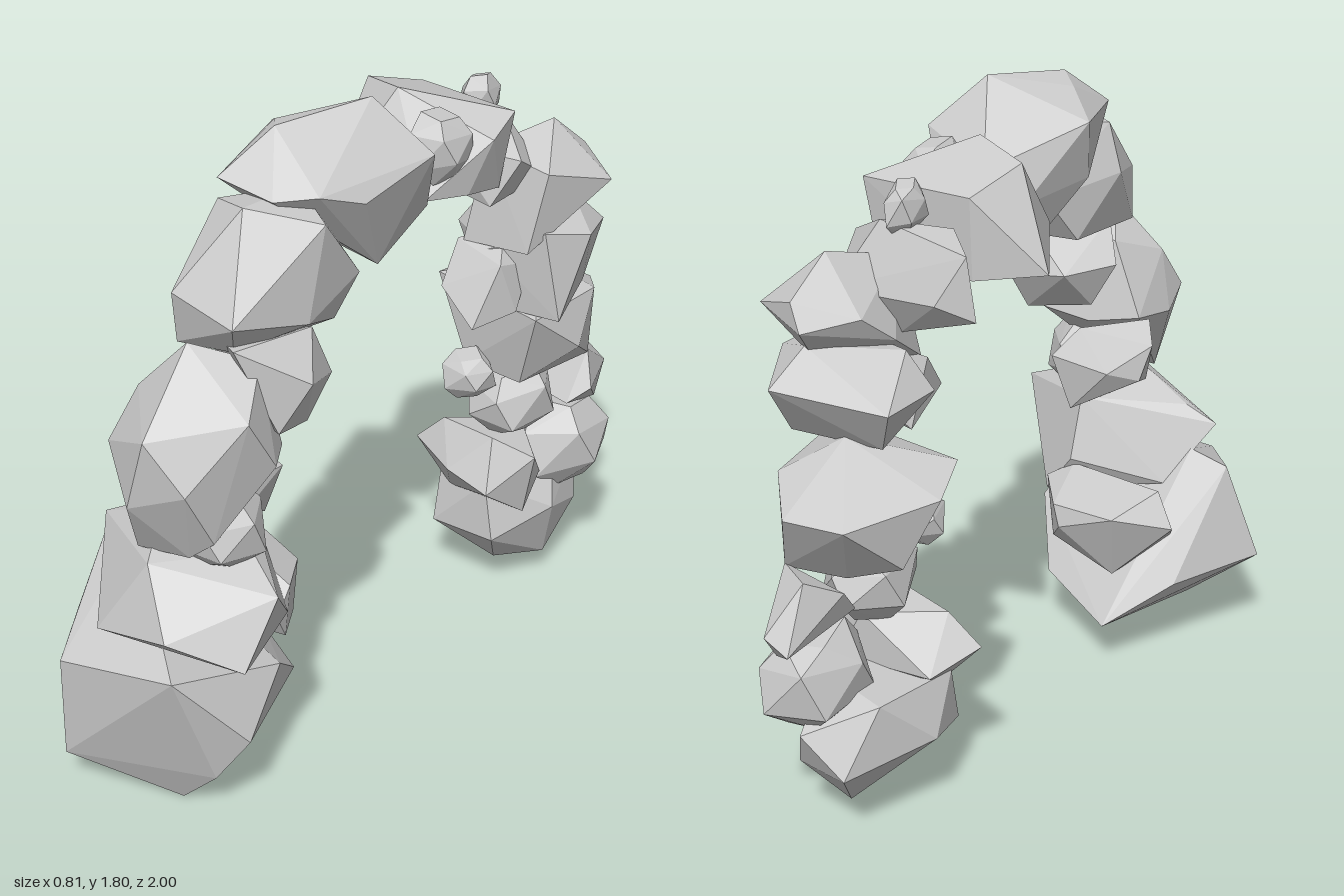
import * as THREE from 'three';
import { ConvexGeometry } from 'three/addons/geometries/ConvexGeometry.js';

export function createModel() {
  const arch = new THREE.Group();
  arch.name = 'rockArch';
  const stone = new THREE.MeshStandardMaterial({ color: 0xcccccc, flatShading: true });

  // A boulder is the convex hull of its corner points [x, y, z]
  function boulder(name, corners) {
    const geometry = new ConvexGeometry(corners.map((c) => new THREE.Vector3(...c)));
    const mesh = new THREE.Mesh(geometry, stone);
    mesh.name = name;
    arch.add(mesh);
  }

  // A small stone: a ring-built hull fitted into the box from min to max
  function pebble(name, min, max, turn) {
    const box = new THREE.Box3(new THREE.Vector3(...min), new THREE.Vector3(...max));
    const pts = [];
    const rings = [[-0.95, 0.5, 4], [-0.4, 1, 5], [0.45, 0.95, 5], [0.95, 0.55, 4]];
    rings.forEach(([y, r, n], k) => {
      for (let i = 0; i < n; i++) {
        const a = turn + k * 0.4 + (i / n) * Math.PI * 2;
        pts.push(new THREE.Vector3(r * Math.cos(a), y + 0.12 * Math.sin(3 * a + turn), r * Math.sin(a)));
      }
    });
    const own = new THREE.Box3().setFromPoints(pts);
    const scale = box.getSize(new THREE.Vector3()).divide(own.getSize(new THREE.Vector3()));
    boulder(name, pts.map((p) => p.sub(own.min).multiply(scale).add(box.min).toArray()));
  }

  // Front leg, from the ground up
  boulder('frontBase', [
    [-0.41, 0.28, 0.67], [-0.11, 0.11, 0.98], [-0.08, 0.43, 1.0], [0.27, 0.49, 0.93],
    [0.36, 0.26, 0.75], [0.28, 0.13, 0.8], [0.15, 0.0, 0.8], [-0.11, 0.01, 0.8],
    [0.02, 0.01, 0.62], [-0.32, 0.57, 0.62], [-0.2, 0.6, 0.62], [-0.12, 0.15, 0.24],
    [0.27, 0.36, 0.55], [-0.27, 0.26, 0.4], [0.15, 0.2, 0.38],
  ]);
  boulder('frontSlab', [
    [0.4, 0.69, 0.68], [0.4, 0.52, 0.8], [0.27, 0.45, 0.7], [-0.02, 0.52, 0.92],
    [0.25, 0.6, 0.93], [-0.25, 0.67, 0.68], [-0.16, 0.72, 0.66], [0.0, 0.79, 0.7],
    [0.12, 0.75, 0.86], [0.27, 0.75, 0.64], [0.1, 0.75, 0.48], [0.2, 0.44, 0.45],
    [0.1, 0.57, 0.42], [-0.15, 0.5, 0.55],
  ]);
  boulder('frontInnerStone', [
    [-0.27, 0.45, 0.38], [-0.14, 0.5, 0.25], [0.08, 0.48, 0.29], [0.05, 0.42, 0.27],
    [0.11, 0.35, 0.34], [-0.1, 0.28, 0.33], [0.1, 0.55, 0.44], [-0.2, 0.54, 0.42],
    [0.19, 0.43, 0.48], [0.17, 0.34, 0.43], [0.12, 0.42, 0.55], [-0.2, 0.36, 0.5],
    [0.18, 0.5, 0.42],
  ]);
  boulder('frontWedgeStone', [
    [-0.13, 0.96, 0.49], [-0.08, 1.01, 0.56], [0.12, 0.96, 0.5], [0.18, 0.88, 0.44],
    [-0.02, 0.87, 0.42], [-0.1, 0.85, 0.47], [-0.04, 0.79, 0.62], [0.12, 0.72, 0.45],
    [0.18, 0.8, 0.58], [0.18, 0.88, 0.64],
  ]);
  pebble('frontChip', [0.09, 0.7, 0.56], [0.31, 0.92, 0.78], 0.4);
  boulder('frontPillar', [
    [0.12, 1.31, 0.7], [0.25, 1.26, 0.58], [0.33, 1.16, 0.7], [0.32, 1.0, 0.6],
    [0.27, 0.83, 0.77], [0.04, 0.75, 0.82], [0.2, 0.77, 0.79], [-0.06, 0.98, 0.72],
    [-0.04, 1.03, 0.83], [-0.02, 1.16, 0.74], [0.17, 1.13, 0.9], [0.1, 0.92, 0.9],
    [0.27, 1.0, 0.86], [0.1, 0.98, 0.52], [0.05, 1.22, 0.58], [-0.04, 1.0, 0.57],
    [0.25, 1.0, 0.51],
  ]);
  boulder('frontShoulderStone', [
    [0.0, 1.18, 0.5], [0.07, 1.29, 0.58], [0.24, 1.31, 0.66], [0.28, 1.31, 0.43],
    [0.35, 1.2, 0.5], [0.27, 1.15, 0.35], [0.09, 1.17, 0.36], [0.25, 1.03, 0.42],
    [0.07, 1.05, 0.48], [0.3, 1.07, 0.57],
  ]);
  boulder('frontHaunch', [
    [-0.01, 1.46, 0.5], [0.03, 1.6, 0.5], [0.17, 1.63, 0.55], [0.32, 1.59, 0.42],
    [0.31, 1.34, 0.47], [0.2, 1.28, 0.62], [0.04, 1.27, 0.66], [0.06, 1.42, 0.69],
    [0.26, 1.38, 0.68], [0.06, 1.28, 0.38], [0.26, 1.29, 0.33], [0.28, 1.4, 0.26],
    [0.1, 1.42, 0.28], [0.15, 1.62, 0.34],
  ]);

  // Crown of the arch
  boulder('crown', [
    [0.04, 1.66, 0.51], [0.2, 1.63, 0.48], [0.28, 1.64, 0.4], [0.1, 1.77, 0.37],
    [0.03, 1.75, 0.3], [0.19, 1.8, 0.12], [0.33, 1.66, 0.04], [0.32, 1.6, 0.28],
    [-0.08, 1.69, 0.2], [0.08, 1.6, -0.07], [0.22, 1.46, -0.06], [0.24, 1.37, 0.15],
    [0.02, 1.38, 0.12], [0.0, 1.5, 0.0], [0.03, 1.57, 0.4], [0.24, 1.53, 0.31],
    [-0.05, 1.52, 0.25],
  ]);
  boulder('crownRear', [
    [-0.25, 1.44, -0.28], [-0.12, 1.69, -0.2], [0.05, 1.72, -0.13], [-0.05, 1.45, 0.05],
    [0.2, 1.46, -0.07], [0.28, 1.6, -0.25], [0.25, 1.64, -0.37], [-0.08, 1.64, -0.38],
    [0.22, 1.42, -0.35], [-0.08, 1.42, -0.37], [0.24, 1.45, -0.2],
  ]);
  pebble('crownPebble', [0.11, 1.5, -0.23], [0.27, 1.69, -0.04], 1.1);
  pebble('crownChip', [0.02, 1.54, -0.52], [0.11, 1.68, -0.38], 2.0);
  boulder('rearKeystone', [
    [-0.19, 1.38, -0.52], [-0.17, 1.55, -0.53], [-0.06, 1.57, -0.42], [0.12, 1.58, -0.48],
    [0.27, 1.5, -0.38], [0.22, 1.4, -0.55], [-0.04, 1.36, -0.38], [0.2, 1.36, -0.34],
    [0.05, 1.3, -0.5], [0.05, 1.5, -0.34], [-0.1, 1.42, -0.57],
  ]);

  // Rear leg, from the top down
  boulder('rearShoulder', [
    [0.18, 1.53, -0.63], [0.1, 1.48, -0.44], [0.31, 1.45, -0.45], [0.35, 1.38, -0.68],
    [0.2, 1.43, -0.75], [0.16, 1.36, -0.77], [0.2, 1.26, -0.67], [0.28, 1.22, -0.41],
    [0.06, 1.38, -0.65], [0.06, 1.2, -0.4], [0.03, 1.3, -0.55],
  ]);
  boulder('rearInnerBlock', [
    [0.2, 1.01, -0.28], [0.06, 1.09, -0.31], [0.22, 1.18, -0.37], [0.04, 1.2, -0.4],
    [0.24, 1.03, -0.42], [0.06, 1.01, -0.45], [0.14, 1.25, -0.48], [0.22, 1.15, -0.5],
  ]);
  boulder('rearHaunch', [
    [0.33, 1.0, -0.5], [0.35, 1.24, -0.6], [0.3, 1.27, -0.46], [0.2, 1.3, -0.7],
    [0.25, 1.2, -0.79], [0.27, 1.05, -0.68], [0.15, 1.2, -0.4], [-0.07, 1.18, -0.53],
    [-0.07, 1.18, -0.73], [0.0, 1.05, -0.66], [0.14, 1.02, -0.42], [0.0, 1.28, -0.55],
  ]);
  boulder('rearPillar', [
    [-0.18, 0.96, -0.67], [-0.13, 1.0, -0.52], [0.1, 1.07, -0.68], [0.28, 1.0, -0.46],
    [0.3, 0.86, -0.64], [0.2, 0.76, -0.5], [0.0, 0.76, -0.5], [0.05, 0.72, -0.76],
    [0.2, 0.74, -0.82], [-0.05, 0.93, -0.9], [0.12, 0.93, -0.92], [-0.11, 0.78, -0.74],
    [0.24, 0.98, -0.78],
  ]);
  pebble('rearChip', [-0.03, 0.69, -0.52], [0.13, 0.83, -0.37], 0.2);
  pebble('rearWedgeStone', [-0.02, 0.53, -0.74], [0.21, 0.76, -0.46], 1.6);
  boulder('rearOuterStone', [
    [0.06, 0.6, -1.0], [0.14, 0.63, -0.99], [0.08, 0.76, -0.9], [0.2, 0.75, -0.82],
    [0.25, 0.65, -0.78], [0.16, 0.54, -0.92], [0.05, 0.62, -0.73], [0.2, 0.6, -0.73],
    [0.03, 0.7, -0.8],
  ]);
  boulder('rearInnerStone', [
    [-0.17, 0.45, -0.48], [-0.08, 0.54, -0.5], [0.14, 0.57, -0.46], [0.23, 0.5, -0.55],
    [0.18, 0.42, -0.39], [0.03, 0.45, -0.39], [0.2, 0.31, -0.54], [-0.05, 0.32, -0.5],
    [0.1, 0.55, -0.64], [0.18, 0.4, -0.64], [-0.1, 0.4, -0.62],
  ]);
  pebble('rearBackStone', [0.0, 0.3, -0.96], [0.27, 0.58, -0.64], 0.9);
  boulder('rearBase', [
    [0.08, 0.09, -0.56], [0.16, 0.08, -0.7], [0.04, 0.08, -0.79], [-0.14, 0.25, -0.65],
    [-0.08, 0.2, -0.46], [0.15, 0.22, -0.46], [0.22, 0.28, -0.66], [0.15, 0.2, -0.86],
    [-0.03, 0.22, -0.91], [0.09, 0.33, -0.93], [-0.07, 0.4, -0.8], [0.14, 0.42, -0.75],
    [0.11, 0.4, -0.47], [-0.1, 0.38, -0.52],
  ]);

  return arch;
}
